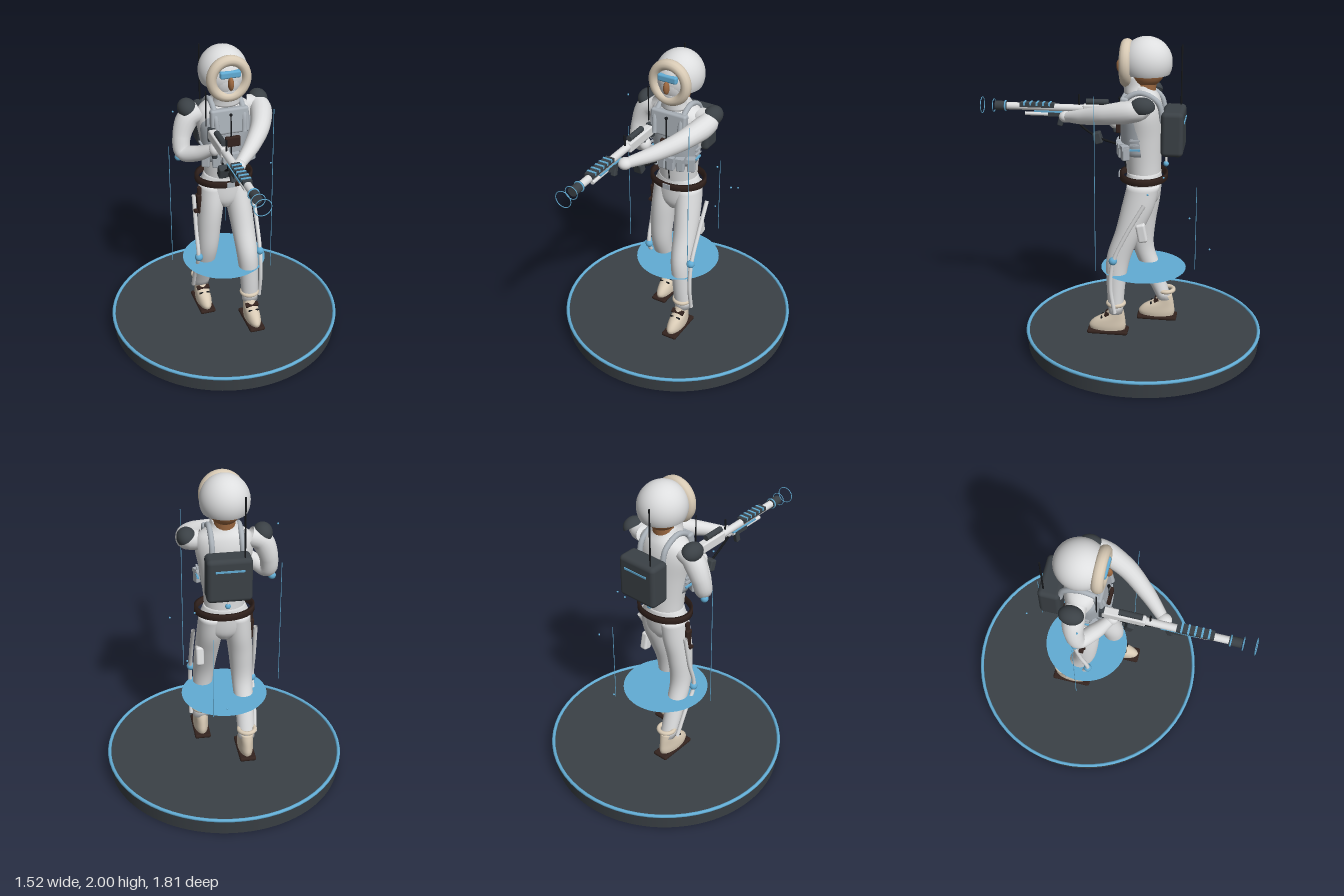
import * as THREE from 'three';
import { RoundedBoxGeometry } from 'three/addons/geometries/RoundedBoxGeometry.js';

const mat = (name, color) => {
  const m = new THREE.MeshStandardMaterial({ color, side: THREE.DoubleSide });
  m.name = name;
  return m;
};
const V = (p) => new THREE.Vector3(...p);

export function createModel() {
  const white = mat('snow white', 0xdddedf), grey = mat('vest grey', 0xa9b0b7);
  const dark = mat('charcoal', 0x3b4146), blue = mat('ice blue', 0x62acd4);
  const cream = mat('fur cream', 0xd8cab5), brown = mat('leather brown', 0x33231e);
  const skin = mat('skin', 0x9c6840), black = mat('black', 0x16181b);
  const model = new THREE.Group();
  model.name = 'snowTrooper';

  const add = (name, geo, m, pos = [0, 0, 0], rot = [0, 0, 0], scale = [1, 1, 1]) => {
    const mesh = new THREE.Mesh(geo, m);
    mesh.name = name;
    mesh.position.set(...pos);
    mesh.rotation.set(...rot);
    mesh.scale.set(...scale);
    model.add(mesh);
    return mesh;
  };
  const ball = (name, m, pos, radii, rot) =>
    add(name, new THREE.SphereGeometry(1, 28, 18), m, pos, rot, radii.length ? radii : [radii, radii, radii]);
  const box = (name, m, pos, size, rot) => add(name, new THREE.BoxGeometry(...size), m, pos, rot);
  const rounded = (name, m, pos, size, r, rot) => add(name, new RoundedBoxGeometry(...size, 3, r), m, pos, rot);
  // Straight rod between two points
  const rod = (name, m, a, b, r, r2 = r) => {
    const d = V(b).sub(V(a));
    const mesh = add(name, new THREE.CylinderGeometry(r2, r, d.length(), 20), m, V(a).addScaledVector(d, 0.5).toArray());
    mesh.quaternion.setFromUnitVectors(new THREE.Vector3(0, 1, 0), d.normalize());
    return mesh;
  };
  // Tube along points, its radius blending through a list
  const tube = (name, m, pts, radii, sides = 18) => {
    const curve = new THREE.CatmullRomCurve3(pts.map(V)), n = 28;
    const geo = new THREE.TubeGeometry(curve, n, 1, sides), p = geo.attributes.position, v = new THREE.Vector3();
    for (let i = 0; i <= n; i++) {
      const c = curve.getPointAt(i / n), f = (i / n) * (radii.length - 1), k = Math.min(Math.floor(f), radii.length - 2);
      const r = radii.length > 1 ? THREE.MathUtils.lerp(radii[k], radii[k + 1], f - k) : radii[0];
      for (let j = 0; j <= sides; j++) {
        const q = i * (sides + 1) + j;
        v.fromBufferAttribute(p, q).sub(c).multiplyScalar(r).add(c);
        p.setXYZ(q, v.x, v.y, v.z);
      }
    }
    return add(name, geo, m);
  };
  // Closed loft through level ellipses [y, x, z, rx, rz], listed upwards
  const loft = (name, m, rows) => {
    const mid = new THREE.CatmullRomCurve3(rows.map((r) => new THREE.Vector3(r[1], r[0], r[2])), false, 'catmullrom');
    const rad = new THREE.CatmullRomCurve3(rows.map((r) => new THREE.Vector3(r[3], 0, r[4])), false, 'catmullrom');
    const n = (rows.length - 1) * 5, s = 32, pos = [], idx = [];
    for (let i = 0; i <= n; i++) {
      const c = mid.getPoint(i / n), r = rad.getPoint(i / n);
      for (let j = 0; j < s; j++) {
        const a = (j / s) * Math.PI * 2, b = i * s + j, e = i * s + ((j + 1) % s);
        pos.push(c.x + r.x * Math.cos(a), c.y, c.z + r.z * Math.sin(a));
        if (i < n) idx.push(b, b + s, e, e, b + s, e + s);
        else idx.push(b, (n + 1) * s + 1, e);
        if (i === 0) idx.push(b, e, (n + 1) * s);
      }
    }
    for (const t of [0, 1]) pos.push(...mid.getPoint(t).toArray());
    const geo = new THREE.BufferGeometry();
    geo.setAttribute('position', new THREE.Float32BufferAttribute(pos, 3));
    geo.setIndex(idx);
    geo.computeVertexNormals();
    return add(name, geo, m);
  };
  const ring = (name, m, pos, r, t, rot, scale) => add(name, new THREE.TorusGeometry(r, t, 12, 64), m, pos, rot, scale);
  const flat = [Math.PI / 2, 0, 0];

  // Display base, glowing rim, floating disc and light shafts
  add('base', new THREE.CylinderGeometry(0.755, 0.745, 0.1, 96), dark, [0, 0.05, -0.14]);
  ring('baseRim', blue, [0, 0.1, -0.14], 0.748, 0.011, flat);
  add('floatingDisc', new THREE.CircleGeometry(0.27, 64), blue, [0, 0.52, -0.14], [-Math.PI / 2, 0, 0]);
  for (const [x, z, top] of [[0.225, 0.135, 1.68], [-0.355, -0.12, 1.4], [0.12, -0.475, 1.11]])
    rod('lightShaft', blue, [x, 0.57, z], [x, top, z], 0.002);
  for (const p of [[0.34, 1.126, -0.2], [0.27, 0.965, -0.445], [0.05, 0.68, -0.56], [-0.33, 1.645, -0.09], [0.2, 1.19, -0.28]])
    ball('snowParticle', blue, p, 0.006);

  // Legs, boots and side piping
  const legs = {
    1: [[0.25, 0.13, 0.02, 0.053, 0.045], [0.45, 0.12, 0.02, 0.06, 0.06], [0.62, 0.11, 0.005, 0.068, 0.075],
      [0.8, 0.1, -0.06, 0.075, 0.085], [0.95, 0.088, -0.11, 0.08, 0.1], [1.1, 0.075, -0.145, 0.082, 0.1]],
    '-1': [[0.25, -0.125, -0.265, 0.053, 0.045], [0.45, -0.122, -0.185, 0.06, 0.063], [0.62, -0.115, -0.125, 0.066, 0.068],
      [0.8, -0.105, -0.12, 0.075, 0.085], [0.95, -0.09, -0.13, 0.08, 0.1], [1.1, -0.075, -0.145, 0.082, 0.1]],
  };
  for (const s of [1, -1]) {
    const x = s * 0.125, z = s > 0 ? 0 : -0.29;
    loft('leg', white, legs[s]);
    loft('boot', cream, [[0.122, x, z + 0.075, 0.045, 0.11], [0.155, x, z + 0.075, 0.049, 0.118],
      [0.195, x, z + 0.06, 0.047, 0.1], [0.235, x, z + 0.028, 0.043, 0.062], [0.275, x, z + 0.018, 0.042, 0.042]]);
    rounded('bootSole', brown, [x, 0.117, z + 0.072], [0.105, 0.026, 0.26], 0.012);
    box('bootStrap', brown, [x, 0.238, z + 0.075], [0.085, 0.014, 0.03], [0.5, 0, 0]);
    rod('bootLace', black, [x - 0.035, 0.215, z + 0.11], [x + 0.035, 0.215, z + 0.11], 0.006);
    ring('ankleFur', cream, [x, 0.31, s > 0 ? 0.02 : -0.275], 0.05, 0.014, flat);
    const path = s > 0 ? [[0.195, 1, -0.16], [0.195, 0.8, -0.05], [0.193, 0.62, 0.028], [0.193, 0.44, 0.045], [0.193, 0.27, 0.02]]
      : [[-0.19, 1, -0.17], [-0.19, 0.78, -0.13], [-0.19, 0.58, -0.085], [-0.19, 0.42, -0.17], [-0.185, 0.26, -0.24]];
    tube('legPiping', white, path, [0.013]);
    ball('kneeLight', blue, s > 0 ? [0.19, 0.625, 0.03] : [-0.187, 0.58, -0.085], 0.026);
  }
  rounded('thighPouch', white, [0.155, 0.81, -0.145], [0.05, 0.12, 0.06], 0.015, [0.2, 0, 0]);

  // Pelvis, torso and belt
  loft('pelvis', white, [[0.94, 0, -0.13, 0.05, 0.07], [1.0, 0, -0.135, 0.135, 0.1], [1.1, 0, -0.14, 0.15, 0.11], [1.17, 0, -0.14, 0.125, 0.105]]);
  loft('torso', white, [[1.14, 0, -0.14, 0.122, 0.104], [1.25, 0, -0.135, 0.13, 0.11], [1.4, 0, -0.13, 0.15, 0.12],
    [1.54, 0, -0.13, 0.175, 0.12], [1.62, 0, -0.13, 0.16, 0.105], [1.67, 0, -0.13, 0.09, 0.08], [1.71, 0, -0.12, 0.07, 0.07]]);
  const w = 0.02, strap = new THREE.LatheGeometry([[1 - 0.1, -w], [1, -w], [1, w], [0.9, w], [0.9, -w]].map((p) => new THREE.Vector2(...p)), 64);
  add('belt', strap, brown, [0, 1.14, -0.138], [0, 0, 0], [0.185, 1, 0.148]);
  box('beltBuckle', grey, [0, 1.14, 0.01], [0.05, 0.034, 0.012]);
  rod('knifeHandle', brown, [-0.165, 1.08, -0.12], [-0.168, 0.97, -0.12], 0.016);
  rounded('knifeSheath', brown, [-0.168, 0.965, -0.12], [0.03, 0.14, 0.045], 0.01, [0, 0, 0.08]);
  box('knifeGuard', brown, [-0.165, 0.912, -0.12], [0.075, 0.016, 0.03]);

  // Vest, pouches and straps
  loft('vest', grey, [[1.29, 0, -0.112, 0.138, 0.11], [1.42, 0, -0.108, 0.153, 0.115], [1.53, 0, -0.108, 0.165, 0.115], [1.59, 0, -0.108, 0.15, 0.1]]);
  rounded('chestPlate', grey, [0, 1.57, -0.02], [0.24, 0.16, 0.05], 0.015, [-0.12, 0, 0]);
  rod('zip', black, [0, 1.18, -0.026], [0, 1.27, -0.012], 0.004);
  rod('zip', black, [0, 1.27, 0.016], [0, 1.62, 0.012], 0.004);
  ball('zipPull', black, [0, 1.62, 0.012], 0.01);
  rounded('chestPouch', brown, [0.01, 1.445, 0.015], [0.095, 0.065, 0.03], 0.008);
  for (let i = 0; i < 6; i++) {
    const x = (i - 2.5) * 0.058, z = 0.006 - x * x * 2.2;
    rounded('beltPouch', grey, [x, 1.315, z], [0.05, 0.085, 0.045], 0.009, [0, x * 3, 0]);
    box('pouchFlap', grey, [x, 1.35, z + 0.004], [0.052, 0.025, 0.045], [0, x * 3, 0]);
  }
  for (const s of [1, -1]) {
    tube('shoulderStrap', grey, [[s * 0.085, 1.5, 0.01], [s * 0.09, 1.62, -0.02], [s * 0.09, 1.675, -0.12], [s * 0.09, 1.62, -0.23], [s * 0.09, 1.5, -0.26]], [0.017]);
    for (let i = 0; i < 3; i++) box('sideTab', i ? grey : blue, [s * 0.158, 1.34 + i * 0.03, -0.1], [0.012, 0.01, 0.06]);
  }

  // Backpack with aerials and hanging light
  rounded('backpack', dark, [0.005, 1.433, -0.318], [0.27, 0.275, 0.135], 0.028);
  box('packStripe', blue, [0.005, 1.5, -0.386], [0.17, 0.012, 0.008]);
  rod('packAerial', black, [-0.085, 1.54, -0.355], [-0.085, 1.94, -0.355], 0.005);
  rod('radioAerial', black, [-0.145, 1.55, -0.025], [-0.145, 1.78, -0.025], 0.004);
  rod('packCord', white, [0, 1.22, -0.275], [0, 1.32, -0.275], 0.007);
  ball('packLight', blue, [0, 1.215, -0.275], 0.017);

  // Head, helmet, fur ring and goggles
  rod('neck', skin, [0, 1.66, -0.14], [0, 1.78, -0.15], 0.065);
  ball('head', skin, [0, 1.8, -0.145], [0.1, 0.105, 0.115]);
  add('helmet', new THREE.SphereGeometry(0.155, 40, 24, 0, Math.PI * 2, 0, 2.02), white, [0, 1.845, -0.15], [0, 0, 0], [0.96, 1, 1]);
  ball('faceMask', white, [0, 1.825, -0.065], [0.092, 0.115, 0.07]);
  loft('neckGaiter', white, [[1.66, 0, -0.09, 0.085, 0.075], [1.71, 0, -0.08, 0.075, 0.07], [1.77, 0, -0.07, 0.08, 0.065]]);
  ring('furRing', cream, [0, 1.838, -0.03], 0.108, 0.031, [0, 0, 0], [1, 1.05, 1.15]);
  rounded('goggles', blue, [0, 1.875, -0.005], [0.128, 0.045, 0.035], 0.012);
  ball('nose', skin, [0, 1.82, 0.01], [0.018, 0.042, 0.024]);

  // Shoulder pads and arms
  for (const s of [1, -1])
    add('shoulderPad', new THREE.SphereGeometry(1, 32, 14, 0, Math.PI * 2, 0, Math.PI / 2), dark,
      [s * 0.225, 1.625, -0.152], [0, 0, -s * 0.6], [0.058, 0.06, 0.075]);
  tube('leftArm', white, [[0.15, 1.6, -0.14], [0.215, 1.6, -0.12], [0.17, 1.56, 0.06], [0.06, 1.51, 0.22], [-0.05, 1.475, 0.34]], [0.06, 0.068, 0.058, 0.048, 0.034]);
  tube('rightArm', white, [[-0.15, 1.6, -0.14], [-0.22, 1.57, -0.14], [-0.27, 1.45, -0.13], [-0.27, 1.36, -0.1], [-0.2, 1.38, -0.02], [-0.13, 1.43, 0.05]], [0.06, 0.068, 0.056, 0.052, 0.048, 0.033]);
  ball('elbowLight', blue, [-0.295, 1.32, -0.12], 0.024);
  ball('leftHand', white, [-0.07, 1.47, 0.36], [0.042, 0.036, 0.045]);
  ball('rightHand', white, [-0.12, 1.435, 0.06], [0.036, 0.042, 0.04]);
  box('armPatch', brown, [0.262, 1.6, -0.07], [0.008, 0.045, 0.055], [0, -0.3, 0]);

  // Rifle pointing forward
  const gx = -0.118, gy = 1.515;
  rounded('rifleBody', white, [gx, gy - 0.005, 0.13], [0.05, 0.065, 0.26], 0.01);
  box('rifleButt', dark, [gx, gy - 0.01, 0.0], [0.045, 0.085, 0.03]);
  rod('barrel', white, [gx, gy, 0.2], [gx, gy, 0.75], 0.023);
  rod('muzzle', dark, [gx, gy, 0.745], [gx, gy, 0.82], 0.029);
  box('topRail', dark, [gx, gy + 0.014, 0.55], [0.054, 0.026, 0.22]);
  for (let i = 0; i < 5; i++) box('railRib', blue, [gx, gy + 0.022, 0.47 + i * 0.04], [0.058, 0.018, 0.012]);
  rod('lowerTube', white, [gx, gy - 0.045, 0.36], [gx, gy - 0.045, 0.63], 0.012);
  box('rifleStripe', blue, [gx, gy - 0.026, 0.46], [0.04, 0.008, 0.22]);
  rounded('foregrip', dark, [gx, gy - 0.075, 0.4], [0.032, 0.085, 0.035], 0.008, [-0.25, 0, 0]);
  box('foregripMount', dark, [gx, gy - 0.04, 0.43], [0.04, 0.03, 0.1]);
  rounded('pistolGrip', dark, [gx, gy - 0.09, 0.06], [0.03, 0.11, 0.04], 0.008, [0.25, 0, 0]);
  rod('sightPost', black, [gx, gy + 0.02, 0.285], [gx, 1.605, 0.285], 0.006);
  rod('scope', dark, [gx, gy + 0.045, 0.1], [gx, gy + 0.045, 0.24], 0.018);
  ring('muzzleCollar', blue, [gx, gy, 0.755], 0.03, 0.005);
  ring('innerAimRing', blue, [gx, gy, 0.83], 0.04, 0.0025);
  ring('outerAimRing', blue, [gx, gy, 0.905], 0.05, 0.0025);

  // Power cell and its cable
  rounded('powerCell', dark, [-0.1, 1.335, 0.165], [0.06, 0.075, 0.05], 0.01, [0.3, 0, 0]);
  tube('powerCable', black, [[gx, 1.47, 0.32], [-0.1, 1.4, 0.26], [-0.09, 1.335, 0.15], [-0.06, 1.31, 0.03]], [0.007], 10);
  return model;
}
